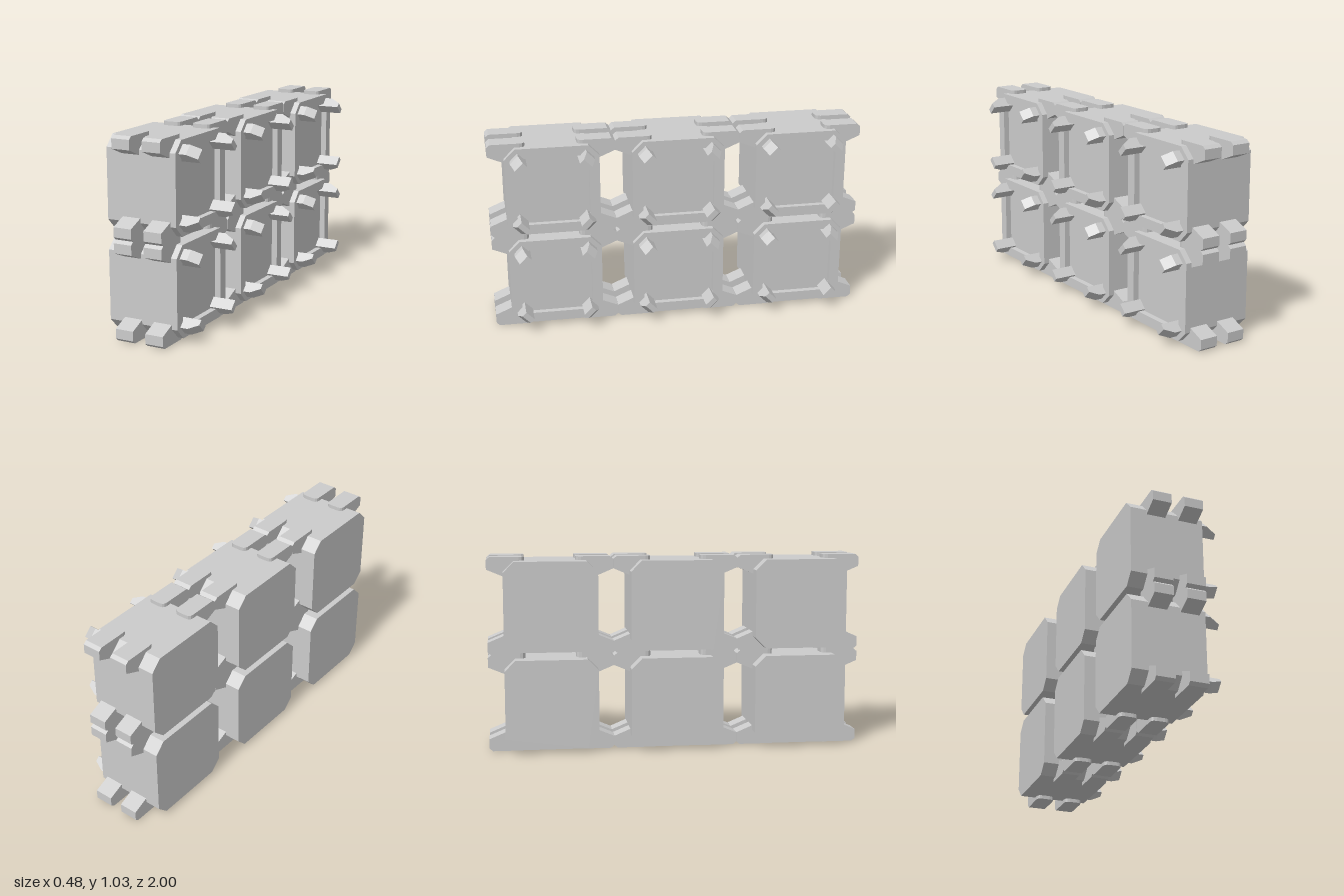
import * as THREE from 'three';
import { mergeGeometries } from 'three/addons/utils/BufferGeometryUtils.js';

const material = new THREE.MeshStandardMaterial({ color: 0xcccccc, flatShading: true });
const HZ = 0.247, HY = 0.238;                 // half size of one module
const BACK = -0.243, FLOOR = 0.113, RIM = 0.145; // x of back, recess floor, rim

const points = (list) => list.map(([a, b]) => new THREE.Vector2(a, b));

// Rectangle with cut corners
function octagon(hz, hy, c) {
  return points([
    [hz, -hy + c], [hz, hy - c], [hz - c, hy], [-hz + c, hy],
    [-hz, hy - c], [-hz, -hy + c], [-hz + c, -hy], [hz - c, -hy],
  ]);
}

const extrude = (shape, depth) => new THREE.ExtrudeGeometry(shape, { depth, bevelEnabled: false, curveSegments: 3 });

// Solid block behind the recess
function blockGeometry() {
  const g = extrude(new THREE.Shape(octagon(HZ, HY, 0.057)), FLOOR - BACK);
  return g.rotateY(Math.PI / 2).translate(BACK, 0, 0);
}

// Raised frame around the recess
function rimGeometry() {
  const shape = new THREE.Shape(octagon(HZ, HY, 0.057));
  shape.holes.push(new THREE.Path(octagon(HZ - 0.055, HY - 0.053, 0.04)));
  return extrude(shape, RIM - FLOOR).rotateY(Math.PI / 2).translate(FLOOR, 0, 0);
}

// Corner peg: local x outward, local y away from the module centre
function pegGeometry() {
  const shape = new THREE.Shape(points([
    [FLOOR - 0.01, -0.03], [0.24, -0.03], [0.24, 0], [0.185, 0.03], [FLOOR - 0.01, 0.03],
  ]));
  return extrude(shape, 0.06).translate(0, 0, -0.03);
}

// Connector: side profile for the jutting end, rounded tab lying on the block
function connectorGeometry() {
  const w = 0.05, top = 0.2585, r = 0.028, z0 = 0.135, z1 = 0.17;
  const side = new THREE.Shape(points([
    [z1, 0.157], [0.247, 0.157], [0.333, 0.193], [0.333, 0.2435], [0.315, top], [z1, top],
  ]));
  const arm = extrude(side, 2 * w).translate(0, 0, -w).rotateY(-Math.PI / 2);
  const tabShape = new THREE.Shape();
  tabShape.moveTo(-w, z1);
  tabShape.lineTo(-w, z0 + r);
  tabShape.quadraticCurveTo(-w, z0, -w + r, z0);
  tabShape.lineTo(w - r, z0);
  tabShape.quadraticCurveTo(w, z0, w, z0 + r);
  tabShape.lineTo(w, z1);
  const tab = extrude(tabShape, 0.04).rotateX(Math.PI / 2).translate(0, top, 0);
  return mergeGeometries([arm, tab]);
}

export function createModel() {
  const model = new THREE.Group();
  model.name = 'moduleWall';
  const block = blockGeometry(), rim = rimGeometry();
  const peg = pegGeometry(), connector = connectorGeometry();

  function add(parent, geometry, name) {
    const mesh = new THREE.Mesh(geometry, material);
    mesh.name = name;
    parent.add(mesh);
    return mesh;
  }

  function createModule() {
    const unit = new THREE.Group();
    unit.name = 'module';
    add(unit, block, 'block');
    add(unit, rim, 'rim');
    for (const sy of [1, -1]) {
      for (const sz of [1, -1]) {
        const p = add(unit, peg, 'cornerPeg');
        p.rotation.x = Math.atan2(sz, sy);
        p.position.set(0, sy * 0.174, sz * 0.177);
        // Half turns carry the connector to each of the four edges
        for (const x of [-0.107, 0.063]) {
          const c = add(unit, connector, 'connector');
          if (sy < 0 && sz < 0) c.rotation.x = Math.PI;
          else if (sz < 0) c.rotation.y = Math.PI;
          else if (sy < 0) c.rotation.z = Math.PI;
          c.position.x = x;
        }
      }
    }
    return unit;
  }

  // Two rows of three modules
  for (const y of [0.2585, 0.7755]) {
    for (const z of [-0.667, 0, 0.667]) {
      const unit = createModule();
      unit.position.set(0, y, z);
      model.add(unit);
    }
  }
  return model;
}
